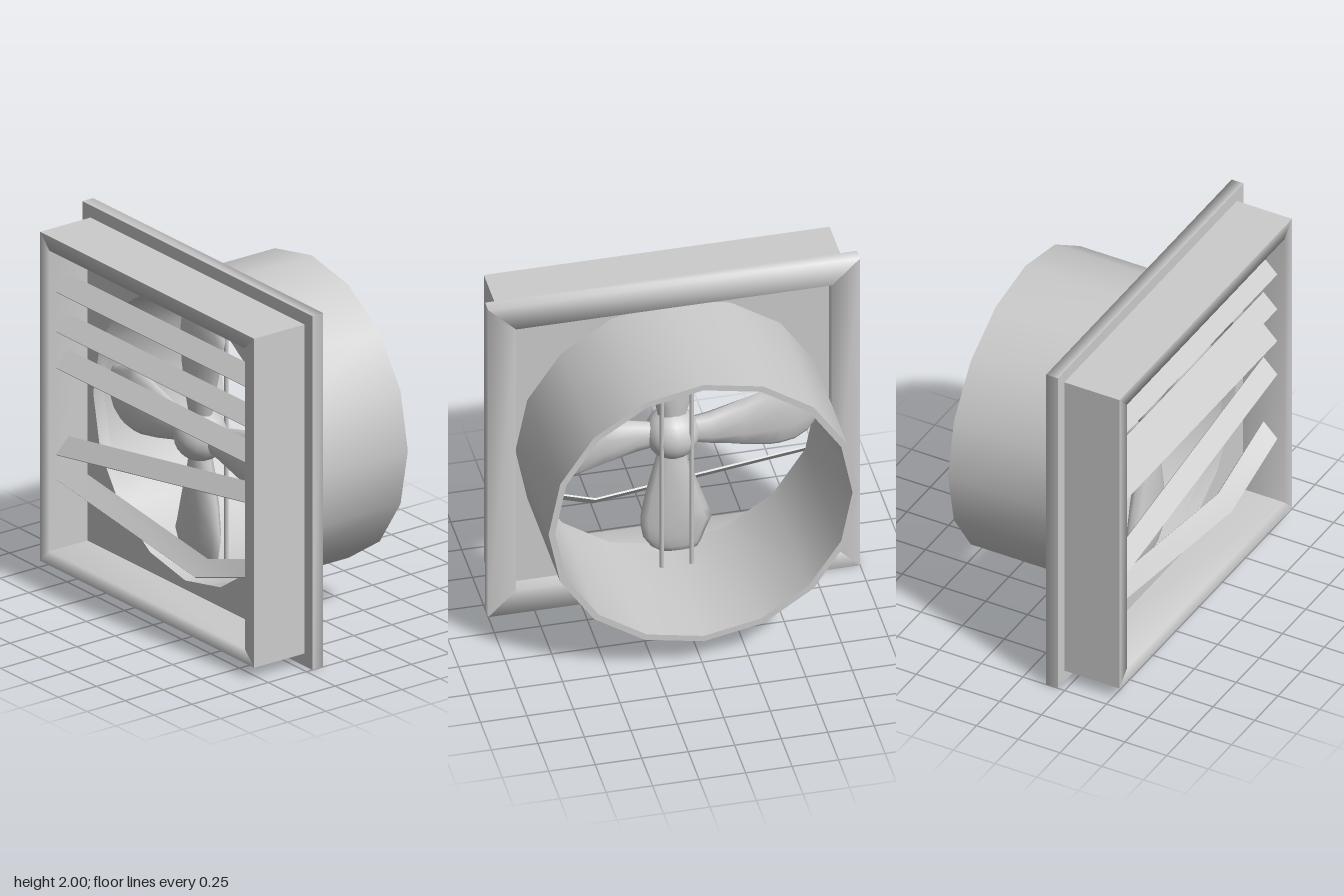
import * as THREE from 'three';
import { mergeGeometries, toCreasedNormals } from 'three/addons/utils/BufferGeometryUtils.js';

const material = new THREE.MeshStandardMaterial({ color: 0xcccccc, side: THREE.DoubleSide });

function add(parent, geometry, name) {
  const mesh = new THREE.Mesh(geometry, material);
  mesh.name = name;
  parent.add(mesh);
  return mesh;
}

// Skin a list of cross-sections (arrays of [x, y, z]) with quads
function loft(rows, closed) {
  const n = rows[0].length, index = [];
  for (let i = 0; i < rows.length - 1; i++) {
    for (let j = 0; j < (closed ? n : n - 1); j++) {
      const k = (j + 1) % n, a = i * n + j, b = i * n + k;
      index.push(a, b, a + n, b, b + n, a + n);
    }
  }
  const g = new THREE.BufferGeometry();
  g.setAttribute('position', new THREE.Float32BufferAttribute(rows.flat(2), 3));
  g.setIndex(index);
  g.computeVertexNormals();
  return g;
}

// Four mitred sides of a square frame from a profile of [half size, z]
function squareFrame(profile) {
  const rows = profile.map(([h, z]) => [[-h, h, z], [h, h, z]]);
  return mergeGeometries([0, 1, 2, 3].map(i => loft(rows, false).rotateZ(i * Math.PI / 2)));
}

function polygonPoints(radius, sides) {
  return Array.from({ length: sides }, (_, i) => {
    const a = i / sides * Math.PI * 2;
    return new THREE.Vector2(radius * Math.cos(a), radius * Math.sin(a));
  });
}

function extrudeWithHole(outer, hole, zBack, zFront) {
  const shape = new THREE.Shape(outer);
  shape.holes.push(new THREE.Path(hole));
  const g = new THREE.ExtrudeGeometry(shape, { depth: zFront - zBack, bevelEnabled: false });
  return toCreasedNormals(g.translate(0, 0, zBack), 0.6);
}

// Thin slat, tilted back, following a path of [x, y]
function slat(path) {
  const section = [[-0.045, 0.04], [-0.038, 0.047], [0.045, -0.036], [0.038, -0.043]];
  const rows = path.map(([x, y]) => section.map(([dy, dz]) => [x, y + dy, 0.45 + dz]));
  const body = loft(rows, true);
  const caps = [rows[0], rows[rows.length - 1].slice().reverse()].map(r => loft([[r[0], r[1]], [r[3], r[2]]], false));
  return toCreasedNormals(mergeGeometries([body, ...caps]), 0.7);
}

// Rounded paddle; stations are [radius, left edge, right edge, half thickness]
function bladeGeometry() {
  const stations = [
    [0.08, -0.07, 0.07, 0.05], [0.2, -0.1, 0.09, 0.06], [0.38, -0.145, 0.15, 0.06],
    [0.52, -0.17, 0.195, 0.055], [0.58, -0.17, 0.215, 0.05], [0.66, -0.155, 0.18, 0.045],
    [0.73, -0.11, 0.155, 0.03], [0.765, -0.06, 0.135, 0.018], [0.767, 0.03, 0.04, 0.002],
  ];
  const rows = stations.map(([r, l, w, t]) => Array.from({ length: 10 }, (_, i) => {
    const a = i / 10 * Math.PI * 2;
    return [(l + w) / 2 + (w - l) / 2 * Math.cos(a), r, -t * Math.sin(a)];
  }));
  return loft(rows, true);
}

export function createModel() {
  const model = new THREE.Group();
  model.name = 'exhaustFan';
  const body = new THREE.Group();
  body.name = 'ventBody';
  body.position.y = 1;
  model.add(body);

  // Square housing and wall flange
  add(body, squareFrame([[0.93, 0.54], [0.93, 0.21]]), 'housingWall');
  add(body, squareFrame([[0.93, 0.21], [1, 0.21]]), 'flangeFront');
  add(body, squareFrame([[1, 0.21], [1, 0.14], [0.85, 0.14], [0.85, 0.22]]), 'flange');
  add(body, squareFrame([[0.85, 0.22], [0.85, 0.54], [0.93, 0.54]]), 'housingFrame');

  // Mounting plate and round duct
  const square = [[-1, -1], [1, -1], [1, 1], [-1, 1]].map(([x, y]) => new THREE.Vector2(x * 0.85, y * 0.85));
  add(body, extrudeWithHole(square, polygonPoints(0.8, 16), 0.22, 0.29), 'mountingPlate');
  add(body, extrudeWithHole(polygonPoints(0.835, 16), polygonPoints(0.8, 16), -0.54, 0.28), 'duct');

  // Louvre slats: three straight, one slipped, one bent
  const louvres = new THREE.Group();
  louvres.name = 'louvres';
  model.add(louvres);
  [
    [[-0.85, 1.645], [0.85, 1.645]],
    [[-0.85, 1.42], [0.85, 1.42]],
    [[-0.85, 1.215], [0.85, 1.215]],
    [[-0.85, 0.725], [0.85, 1.0]],
    [[-0.85, 0.585], [0.36, 0.425], [0.85, 0.585]],
  ].forEach((path, i) => add(louvres, slat(path), 'slat' + (i + 1)));

  // Fan hub and four blades
  const fan = new THREE.Group();
  fan.name = 'fan';
  fan.position.set(0, 1.005, 0.19);
  model.add(fan);
  add(fan, new THREE.SphereGeometry(0.145, 16, 12), 'hub');
  for (let i = 0; i < 4; i++) {
    add(fan, bladeGeometry(), 'blade' + (i + 1)).rotation.z = i * Math.PI / 2;
  }

  // Support rods behind the fan
  for (const x of [-0.08, 0.08]) {
    add(model, new THREE.CylinderGeometry(0.012, 0.012, 1.6, 8), 'supportRod').position.set(x, 1, 0.08);
  }
  return model;
}
